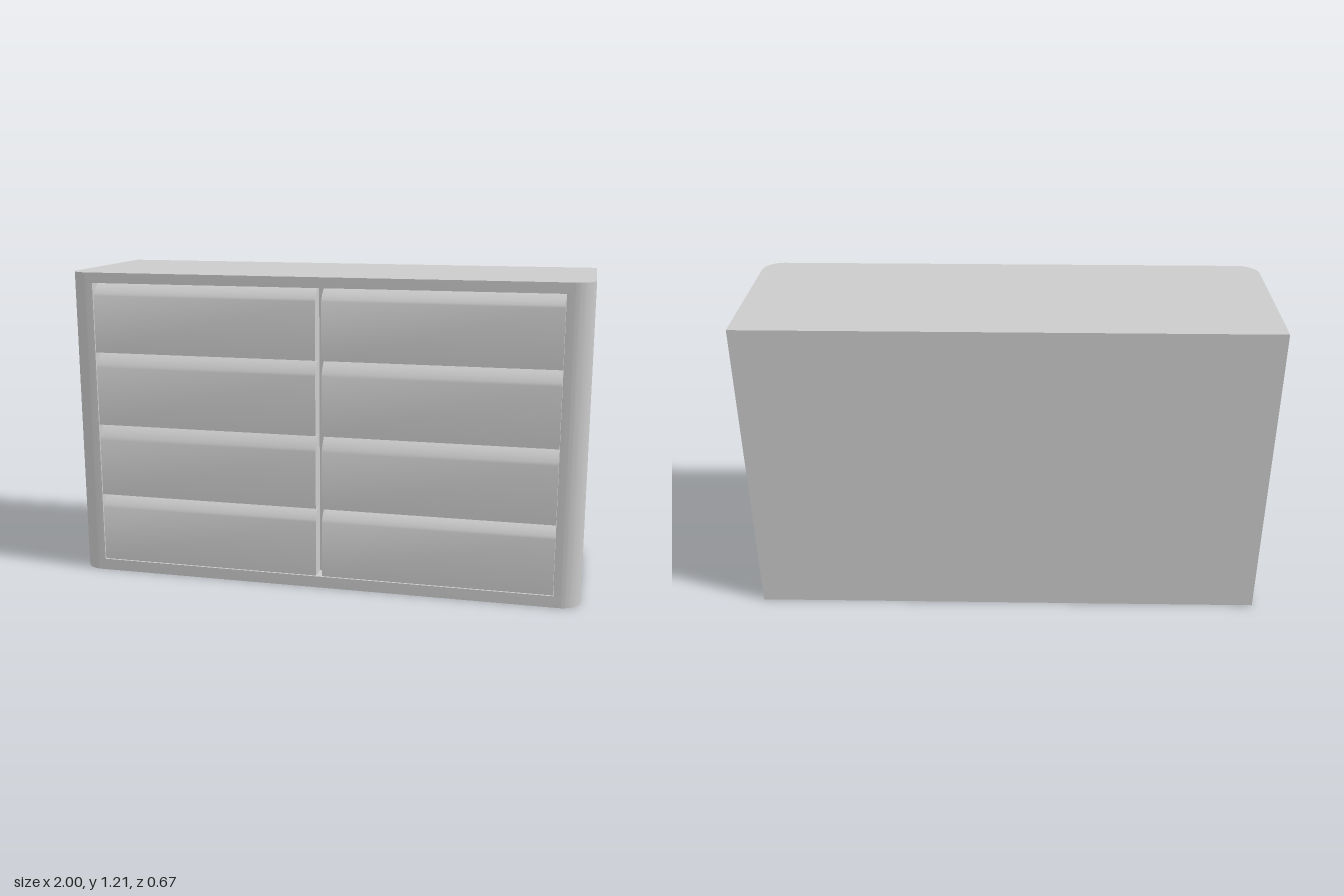
import * as THREE from 'three';
import { toCreasedNormals } from 'three/addons/utils/BufferGeometryUtils.js';

const W = 1, D = 0.335, H = 1.21;   // half width, half depth, height
const R = 0.08;                     // front corner radius
const OPEN = 0.9;                   // half width of the drawer opening
const FLOOR = 0.265;                // z of the back of the opening
const BOTTOM = 0.045, TOP = 1.17;   // opening limits in y
const material = new THREE.MeshStandardMaterial({ color: 0xcccccc });

function addMesh(parent, name, geometry) {
  const mesh = new THREE.Mesh(toCreasedNormals(geometry, 0.6), material);
  mesh.name = name;
  parent.add(mesh);
  return mesh;
}

// Plan outline drawn in x and -z, with rounded front corners and an optional front pocket
function plan(pocket) {
  const s = new THREE.Shape();
  s.moveTo(W, D);
  s.lineTo(-W, D);
  s.lineTo(-W, -D + R);
  s.absarc(-W + R, -D + R, R, Math.PI, Math.PI * 1.5, false);
  if (pocket) {
    s.lineTo(-OPEN, -D);
    s.lineTo(-OPEN, -FLOOR);
    s.lineTo(OPEN, -FLOOR);
    s.lineTo(OPEN, -D);
  }
  s.lineTo(W - R, -D);
  s.absarc(W - R, -D + R, R, Math.PI * 1.5, Math.PI * 2, false);
  s.closePath();
  return s;
}

function slab(pocket, y0, y1) {
  return new THREE.ExtrudeGeometry(plan(pocket), { depth: y1 - y0, bevelEnabled: false, curveSegments: 10 })
    .rotateX(-Math.PI / 2).translate(0, y0, 0);
}

// Drawer front: flat face whose top edge rolls back into a finger pull
function drawerGeometry(y0, lip, y1, x0, x1) {
  const z = D - 0.003;
  const s = new THREE.Shape();      // drawn in -z and y
  s.moveTo(-FLOOR, y0);
  s.lineTo(-FLOOR, y1);
  s.lineTo(-0.285, y1);
  s.quadraticCurveTo(-z + 0.012, lip + (y1 - lip) * 0.55, -z, lip);
  s.lineTo(-z, y0);
  s.closePath();
  return new THREE.ExtrudeGeometry(s, { depth: x1 - x0, bevelEnabled: false, curveSegments: 6 })
    .rotateY(Math.PI / 2).translate(x0, 0, 0);
}

export function createModel() {
  const model = new THREE.Group();
  model.name = 'dresser';

  // Case
  const cabinet = new THREE.Group();
  cabinet.name = 'case';
  addMesh(cabinet, 'base', slab(false, 0, BOTTOM));
  addMesh(cabinet, 'sidesAndBack', slab(true, BOTTOM, TOP));
  addMesh(cabinet, 'top', slab(false, TOP, H));
  model.add(cabinet);

  // Two columns of four drawers, each row: bottom, lip and top heights
  const rows = [
    [0.047, 0.265, 0.32],
    [0.32, 0.545, 0.608],
    [0.608, 0.838, 0.898],
    [0.898, 1.12, 1.168],
  ];
  for (const [column, x0, x1] of [['right', -OPEN + 0.002, -0.012], ['left', 0.012, OPEN - 0.002]]) {
    const group = new THREE.Group();
    group.name = column + 'Drawers';
    rows.forEach(([y0, lip, y1], i) => addMesh(group, `${column}Drawer${i + 1}`, drawerGeometry(y0, lip, y1, x0, x1)));
    model.add(group);
  }
  return model;
}
